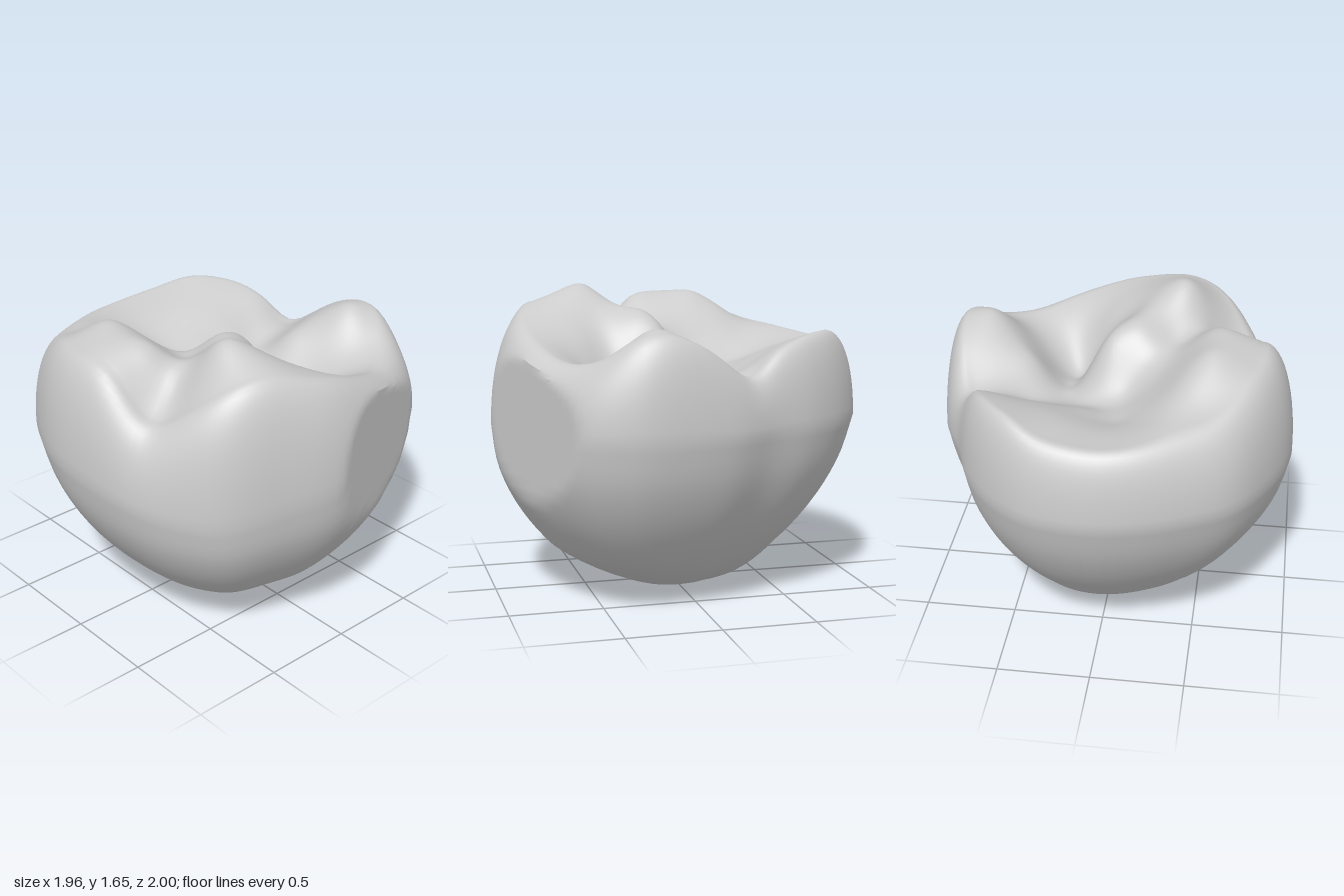
import * as THREE from 'three';
import { toCreasedNormals } from 'three/addons/utils/BufferGeometryUtils.js';

// Widest plan outline [x, z], running from +x towards +z
const OUTLINE = [
  [0.98, 0.3], [0.96, 0.46], [0.865, 0.655], [0.61, 0.84], [0.33, 0.96], [-0.03, 1], [-0.34, 0.92],
  [-0.64, 0.79], [-0.8, 0.61], [-0.92, 0.36], [-0.98, 0], [-0.96, -0.25], [-0.85, -0.52],
  [-0.7, -0.73], [-0.45, -0.88], [-0.2, -0.97], [0.05, -1], [0.33, -0.95], [0.55, -0.8],
  [0.7, -0.6], [0.8, -0.35], [0.92, -0.1],
];

// Underside profile [radius factor, y]
const UNDER = [
  [0.001, 0], [0.16, 0.01], [0.37, 0.075], [0.56, 0.19], [0.71, 0.33], [0.85, 0.52], [0.95, 0.73], [1, 0.95],
];

// Heights [x, z, y] of the cusps, ridges and rim
const RIM = [
  [0.84, 0.28, 1.47], [0.71, 0.29, 1.48], [0.78, 0.03, 1.38], [0.74, -0.22, 1.23], [0.66, -0.35, 1.33],
  [0.6, -0.54, 1.41], [0.46, -0.79, 1.44], [0.28, -0.83, 1.38], [-0.03, -0.84, 1.34], [-0.36, -0.66, 1.38],
  [-0.52, -0.55, 1.42], [-0.67, -0.47, 1.46], [-0.76, -0.22, 1.52], [-0.53, -0.26, 1.58],
  [-0.42, -0.4, 1.48], [-0.55, 0.1, 1.55], [-0.77, 0.08, 1.5], [-0.74, 0.33, 1.28], [-0.57, 0.29, 1.38],
  [-0.62, 0.47, 1.38], [-0.36, 0.43, 1.64], [-0.36, 0.66, 1.57], [-0.1, 0.76, 1.5],
  [0.05, 0.76, 1.45], [0.3, 0.68, 1.33], [0.5, 0.63, 1.29], [0.69, 0.52, 1.34],
];
// Heights [x, z, y] of the grooves, pit and inner slopes
const BASIN = [
  [0.2, 0.32, 1.1], [0.24, 0.12, 1.13], [0.22, -0.04, 1.15], [0.08, -0.13, 1.18], [-0.08, -0.1, 1.24],
  [-0.34, 0.13, 1.44], [-0.12, 0.12, 1.5], [0.06, 0.08, 1.41], [0.08, 0.24, 1.36],
  [-0.05, 0.4, 1.46], [0.1, 0.5, 1.35], [0.25, 0.5, 1.21], [0.45, 0.08, 1.29], [0.45, 0.35, 1.23],
  [0.35, -0.32, 1.27], [0.25, -0.54, 1.34], [0.45, -0.16, 1.19], [0.12, -0.28, 1.22],
  [-0.06, -0.4, 1.23], [-0.3, -0.3, 1.39], [-0.26, -0.5, 1.34], [0.05, -0.62, 1.31],
];

// Radial basis surface through all height points
function makeHeight(points) {
  const kernel = (dx, dz) => Math.sqrt(dx * dx + dz * dz + 0.006);
  const n = points.length, base = 1.35;
  const m = points.map((p) => [...points.map((q) => kernel(p[0] - q[0], p[1] - q[1])), p[2] - base]);
  for (let c = 0; c < n; c++) {
    let best = c;
    for (let r = c + 1; r < n; r++) if (Math.abs(m[r][c]) > Math.abs(m[best][c])) best = r;
    [m[c], m[best]] = [m[best], m[c]];
    for (let r = 0; r < n; r++) {
      if (r === c) continue;
      const k = m[r][c] / m[c][c];
      for (let i = c; i <= n; i++) m[r][i] -= k * m[c][i];
    }
  }
  const weights = m.map((row, i) => row[n] / row[i]);
  return (x, z) => points.reduce((sum, p, i) => sum + weights[i] * kernel(x - p[0], z - p[1]), base);
}

// The rim sits further out at the back left, the waist lower at the front right
const rimFactor = (x, z) => 0.81 + 0.065 * THREE.MathUtils.smoothstep(x - z, 0.2, 0.9);
const waistHeight = (x, z) => 0.95 - 0.13 * Math.max(0, (z - x) / 1.42) ** 4;

function crownGeometry() {
  const N = 128, LOWER = 24, SHOULDER = 14, TOP = 40;
  const height = makeHeight([...RIM, ...BASIN]);
  const outline = new THREE.CatmullRomCurve3(
    OUTLINE.map(([x, z]) => new THREE.Vector3(x, 0, z)), true).getSpacedPoints(N);
  const under = new THREE.SplineCurve(UNDER.map(([r, y]) => new THREE.Vector2(r, y)));
  const positions = [], index = [];

  // Flat contact facet: pull anything outside the plane back onto it
  const facet = new THREE.Plane(new THREE.Vector3(0.345, 0, 0.939).normalize(), -0.929);
  const v = new THREE.Vector3();
  const add = (x, y, z) => {
    v.set(x, y, z);
    const out = facet.distanceToPoint(v);
    if (out > 0) v.addScaledVector(facet.normal, -out);
    positions.push(v.x, v.y, v.z);
  };

  const rows = LOWER + SHOULDER + TOP;
  for (let j = 0; j <= rows; j++) {
    for (let i = 0; i < N; i++) {
      const { x, z } = outline[i];
      const rim = rimFactor(x, z), waist = waistHeight(x, z);
      if (j <= LOWER) {
        // rounded underside
        const p = under.getPoint(j / LOWER);
        const lean = Math.max(0, 1 - p.y / 0.95) * Math.min(1, p.y / 0.25);
        const y = Math.max(0, p.y) * waist / 0.95;
        add(x * p.x + 0.04 * (1 - p.x), y, z * p.x + 0.1 * lean - 0.06 * (1 - p.x));
      } else if (j <= LOWER + SHOULDER) {
        // side wall curving in to the rim
        const a = ((j - LOWER) / SHOULDER) * Math.PI / 2;
        const f = rim + (1 - rim) * Math.cos(a);
        add(x * f, waist + (height(x * rim, z * rim) - waist) * Math.sin(a), z * f);
      } else {
        // chewing surface
        const f = Math.max(0.001, rim * (1 - (j - LOWER - SHOULDER) / TOP));
        add(x * f, height(x * f, z * f), z * f);
      }
    }
  }
  for (let j = 0; j < rows; j++) {
    for (let i = 0; i < N; i++) {
      const a = j * N + i, b = j * N + ((i + 1) % N);
      index.push(a, a + N, b, b, a + N, b + N);
    }
  }
  const geometry = new THREE.BufferGeometry();
  geometry.setAttribute('position', new THREE.Float32BufferAttribute(positions, 3));
  geometry.setIndex(index);
  return toCreasedNormals(geometry, 0.6);
}

export function createModel() {
  const group = new THREE.Group();
  group.name = 'molarCrown';
  const crown = new THREE.Mesh(crownGeometry(), new THREE.MeshStandardMaterial({ color: 0xcccccc }));
  crown.name = 'crown';
  group.add(crown);
  return group;
}
